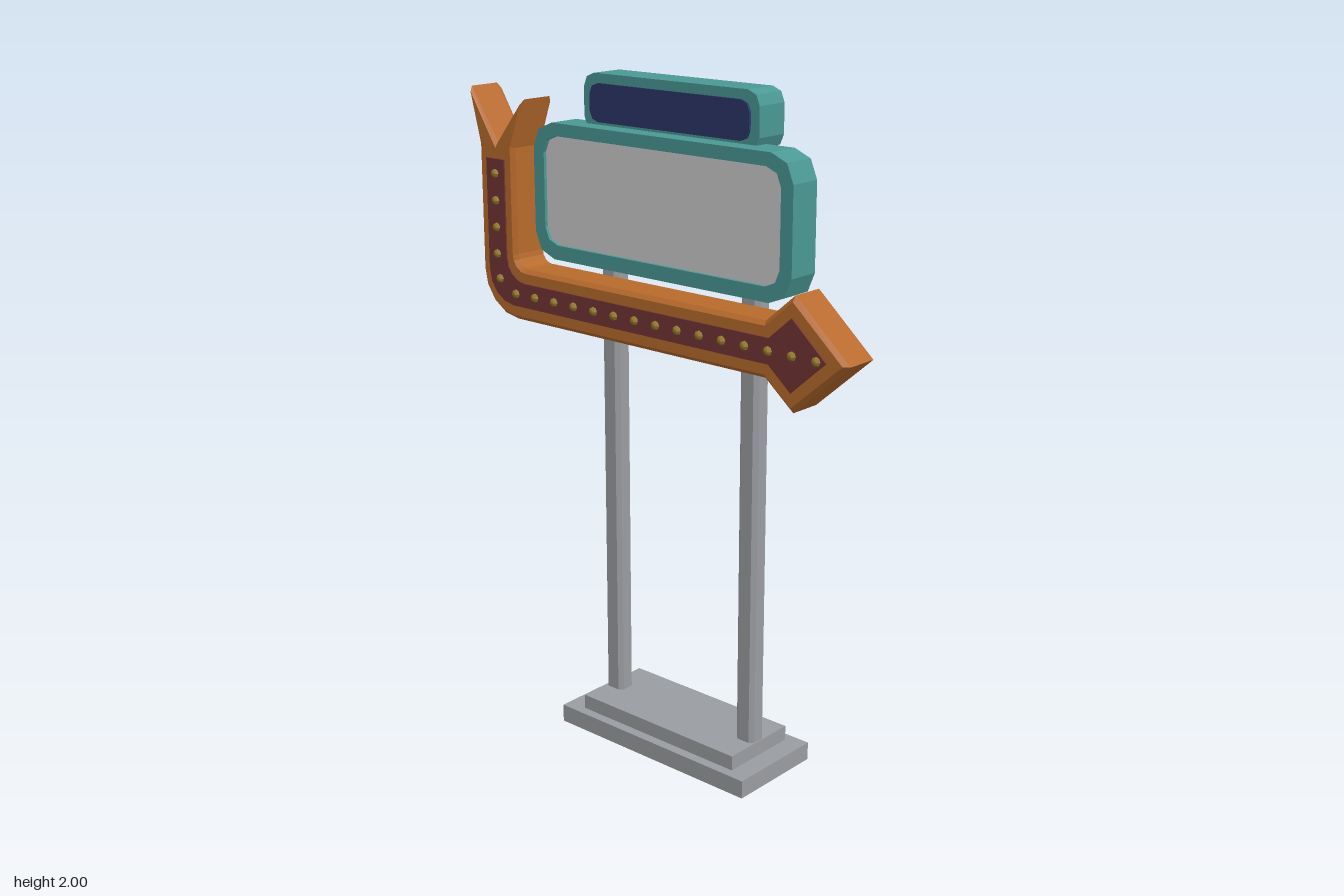
import * as THREE from 'three';

const paint = (color) => new THREE.MeshStandardMaterial({ color, flatShading: true });

// Rectangle with corners cut in two facets
function roundedRect(Path, x0, x1, y0, y1, r) {
  const p = new Path();
  p.absarc(x1 - r, y1 - r, r, 0, Math.PI / 2);
  p.absarc(x0 + r, y1 - r, r, Math.PI / 2, Math.PI);
  p.absarc(x0 + r, y0 + r, r, Math.PI, Math.PI * 1.5);
  p.absarc(x1 - r, y0 + r, r, Math.PI * 1.5, Math.PI * 2);
  p.closePath();
  return p;
}

// Extrude a shape from z0 to z1, with an optional bevel inside the outline
function slab(shape, z0, z1, bevel = 0, curveSegments = 1) {
  const g = new THREE.ExtrudeGeometry(shape, {
    depth: z1 - z0 - 2 * bevel, curveSegments, bevelEnabled: bevel > 0,
    bevelSize: bevel, bevelThickness: bevel, bevelOffset: -bevel, bevelSegments: 1,
  });
  return g.translate(0, 0, z0 + bevel);
}

// L-shaped arrow body with forked tail and pointed head
function arrowShape() {
  const s = new THREE.Shape();
  s.moveTo(-0.698, 1.936);
  s.lineTo(-0.665, 1.772);
  s.lineTo(-0.665, 1.4);
  s.absarc(-0.527, 1.4, 0.138, Math.PI, Math.PI * 1.5, false);
  s.lineTo(0.417, 1.262);
  s.lineTo(0.512, 1.183);
  s.lineTo(0.692, 1.342);
  s.lineTo(0.512, 1.501);
  s.lineTo(0.417, 1.419);
  s.lineTo(-0.48, 1.419);
  s.absarc(-0.48, 1.459, 0.04, Math.PI * 1.5, Math.PI, true);
  s.lineTo(-0.52, 1.772);
  s.lineTo(-0.477, 1.915);
  s.lineTo(-0.592, 1.783);
  s.closePath();
  return s;
}

// Narrower face that follows the arrow
function arrowFaceShape() {
  const s = new THREE.Shape();
  s.moveTo(-0.629, 1.735);
  s.lineTo(-0.629, 1.405);
  s.absarc(-0.529, 1.405, 0.1, Math.PI, Math.PI * 1.5, false);
  s.lineTo(0.437, 1.305);
  s.lineTo(0.512, 1.241);
  s.lineTo(0.625, 1.342);
  s.lineTo(0.512, 1.443);
  s.lineTo(0.437, 1.377);
  s.lineTo(-0.48, 1.377);
  s.absarc(-0.48, 1.452, 0.075, Math.PI * 1.5, Math.PI, true);
  s.lineTo(-0.555, 1.735);
  s.closePath();
  return s;
}

export function createModel() {
  const model = new THREE.Group();
  const metal = paint(0x9a9da1), light = paint(0xcccccc), teal = paint(0x4a9894);
  const blue = paint(0x2c3566), orange = paint(0xb86a2c), maroon = paint(0x743434), gold = paint(0x8f7428);

  const add = (name, geometry, material, parent = model) => {
    const mesh = new THREE.Mesh(geometry, material);
    mesh.name = name;
    parent.add(mesh);
    return mesh;
  };
  const box = (name, x0, x1, y0, y1, z0, z1, material) =>
    add(name, new THREE.BoxGeometry(x1 - x0, y1 - y0, z1 - z0), material)
      .position.set((x0 + x1) / 2, (y0 + y1) / 2, (z0 + z1) / 2);

  // Stepped base
  box('baseLower', -0.345, 0.377, 0, 0.055, -0.155, 0.155, metal);
  box('baseUpper', -0.28, 0.314, 0.055, 0.1, -0.125, 0.125, metal);

  // Posts with chamfered edges
  const w = 0.033, d = 0.03, c = 0.012;
  const section = new THREE.Shape([
    [w, -d + c], [w, d - c], [w - c, d], [-w + c, d],
    [-w, d - c], [-w, -d + c], [-w + c, -d], [w - c, -d],
  ].map(([x, y]) => new THREE.Vector2(x, y)));
  for (const [name, x] of [['leftPost', 0.277], ['rightPost', -0.247]]) {
    const post = add(name, slab(section, 0.09, 1.85), metal);
    post.rotation.x = -Math.PI / 2;
    post.position.x = x;
  }

  // Crossbars behind the main sign
  for (const y of [1.57, 1.785]) box('crossbar', -0.247, 0.277, y - 0.022, y + 0.022, -0.026, 0.022, metal);

  // Main sign: open frame with recessed panels front and back
  const frame = roundedRect(THREE.Shape, -0.456, 0.488, 1.462, 1.857, 0.075);
  frame.holes.push(roundedRect(THREE.Path, -0.416, 0.448, 1.504, 1.82, 0.05));
  add('mainSignFrame', slab(frame, 0.016, 0.115), teal);
  const panel = roundedRect(THREE.Shape, -0.418, 0.45, 1.502, 1.822, 0.05);
  add('mainSignFace', slab(panel, 0.07, 0.105), light);
  add('mainSignBack', slab(panel, 0.026, 0.07), metal);

  // Small top sign
  add('topSignBody', slab(roundedRect(THREE.Shape, -0.308, 0.327, 1.837, 2, 0.04), -0.048, 0.056), teal);
  add('topSignFace', slab(roundedRect(THREE.Shape, -0.28, 0.298, 1.865, 1.973, 0.03), 0.05, 0.063), blue);

  // Arrow
  const arrow = new THREE.Group();
  arrow.name = 'arrow';
  model.add(arrow);
  add('arrowBody', slab(arrowShape(), 0.016, 0.139, 0.012, 2), orange, arrow);
  add('arrowFace', slab(arrowFaceShape(), 0.13, 0.143, 0, 2), maroon, arrow);

  // Bulbs along the arrow
  const spots = [[-0.583, 1.379]];
  for (let i = 0; i < 4; i++) spots.push([-0.592, 1.453 + i * 0.0797]);
  for (let i = 0; i < 15; i++) spots.push([-0.517 + i * 0.0794, 1.342]);
  const bulb = new THREE.SphereGeometry(0.014, 8, 3, 0, Math.PI * 2, 0, Math.PI / 2).rotateX(Math.PI / 2);
  for (const [x, y] of spots) add('bulb', bulb, gold, arrow).position.set(x, y, 0.142);

  return model;
}
